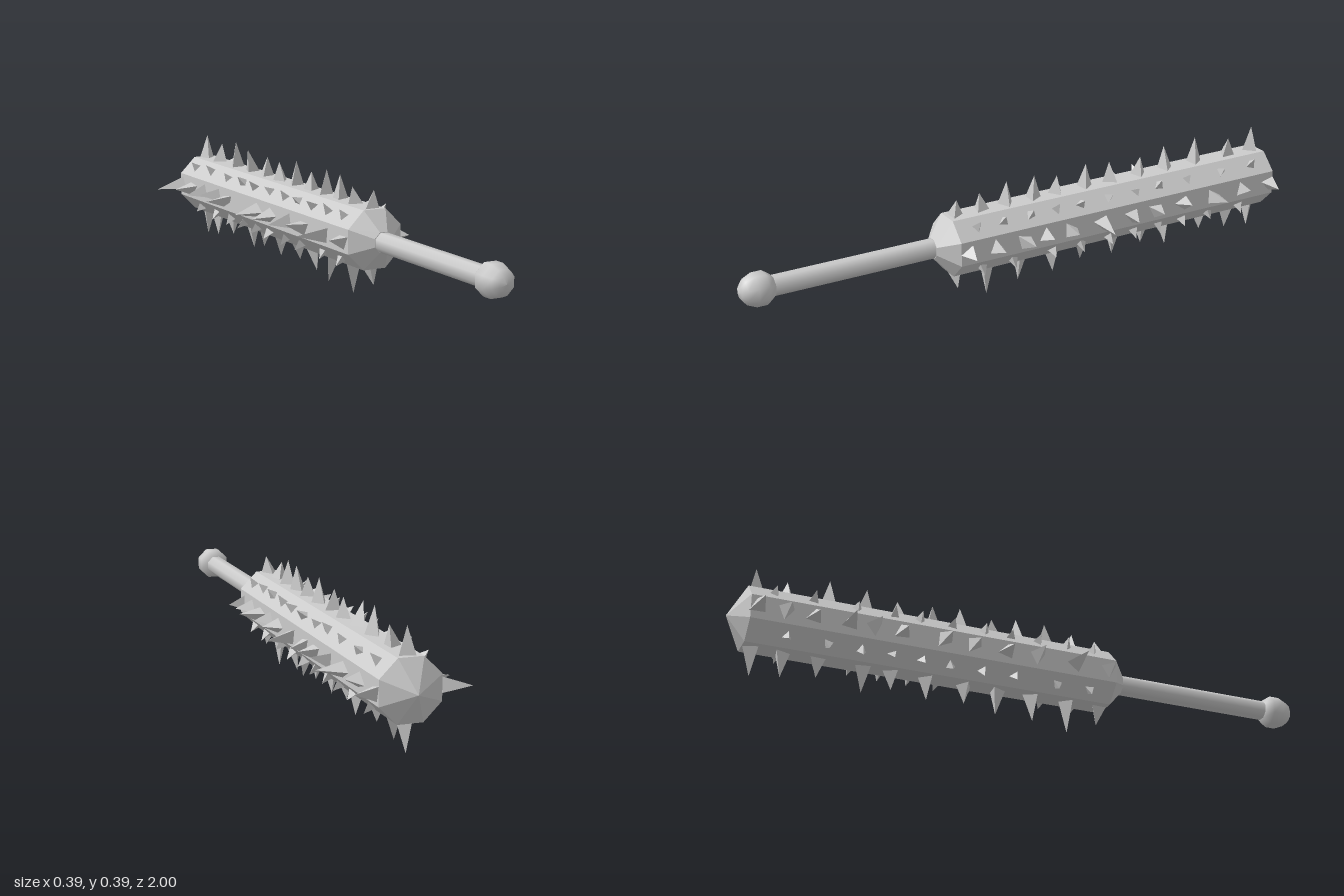
import * as THREE from 'three';

const CX = 0.006, CY = 0.209;   // axis of the club
const APOTHEM = 0.096;          // axis to flat side of the head
const steel = new THREE.MeshStandardMaterial({ color: 0xcccccc });
const faceted = new THREE.MeshStandardMaterial({ color: 0xcccccc, flatShading: true });

// small seeded generator, -1..1
let seed = 7;
const rand = () => {
  seed = (seed * 16807) % 2147483647;
  return (seed / 2147483647) * 2 - 1;
};

// eight-sided lathe along z, flats facing the axes; profile is [radius, z], z rising
function octLathe(name, profile, material) {
  const g = new THREE.LatheGeometry(profile.map(p => new THREE.Vector2(...p)), 8);
  g.rotateY(Math.PI / 8);
  g.rotateX(Math.PI / 2);
  const mesh = new THREE.Mesh(g, material);
  mesh.name = name;
  return mesh;
}

// three-sided spike standing on a side of the head, its tip leaning a little
function spike(name, angle, z, height, radius, lean) {
  const g = new THREE.ConeGeometry(radius, height, 3, 1, false, rand() * Math.PI);
  g.translate(0, height / 2, 0);
  const p = g.attributes.position;
  const dx = rand() * lean;
  for (let i = 0; i < p.count; i++) {
    p.setX(i, p.getX(i) + dx * p.getY(i) / height);
  }
  g.translate(0, APOTHEM - 0.001, 0);
  g.rotateZ(angle);
  const mesh = new THREE.Mesh(g, faceted);
  mesh.name = name;
  mesh.position.z = z;
  return mesh;
}

export function createModel() {
  seed = 7;
  const club = new THREE.Group();
  club.name = 'spikedClub';
  club.position.set(CX, CY, 0);

  // head: tapered collar, prism and pointed end
  const R = APOTHEM / Math.cos(Math.PI / 8);
  club.add(octLathe('head', [[0, -1], [R, -0.945], [R, 0.288], [0.035, 0.343], [0, 0.343]], faceted));

  // handle and pommel
  club.add(octLathe('handle', [[0.033, 0.33], [0.033, 0.9]], steel));
  club.add(octLathe('pommel', [[0, 0.89], [0.036, 0.89], [0.054, 0.915], [0.054, 0.95],
    [0.041, 0.98], [0.021, 0.995], [0, 1]], steel));

  // large spikes on the four main sides: [z, height] pairs
  const H = Math.PI / 2;
  const mainRows = [
    ['topSpike', 0, [[0.26, 0.058], [0.165, 0.055], [0.07, 0.08], [-0.03, 0.082], [-0.12, 0.062], [-0.23, 0.082],
      [-0.33, 0.066], [-0.445, 0.066], [-0.555, 0.077], [-0.675, 0.09], [-0.81, 0.064], [-0.915, 0.085]]],
    ['rightSpike', H, [[0.26, 0.055], [0.14, 0.107], [0.005, 0.072], [-0.105, 0.076], [-0.22, 0.076], [-0.32, 0.09],
      [-0.46, 0.07], [-0.55, 0.086], [-0.63, 0.076], [-0.745, 0.07], [-0.835, 0.075], [-0.925, 0.106]]],
    ['bottomSpike', 2 * H, [[0.26, 0.06], [0.15, 0.108], [0.02, 0.095], [-0.1, 0.083], [-0.21, 0.064],
      [-0.34, 0.076], [-0.46, 0.064], [-0.555, 0.086], [-0.705, 0.064], [-0.82, 0.085], [-0.915, 0.097]]],
    ['leftSpike', 3 * H, [[0.26, 0.052], [0.16, 0.062], [0.06, 0.08], [-0.025, 0.055], [-0.115, 0.06], [-0.235, 0.088],
      [-0.355, 0.05], [-0.45, 0.06], [-0.56, 0.062], [-0.687, 0.092], [-0.813, 0.052], [-0.925, 0.065]]],
  ];
  for (const [name, angle, list] of mainRows) {
    for (const [z, h] of list) club.add(spike(name, angle, z, h, 0.029, 0.016));
  }

  // small spikes on the diagonal sides
  const upper = [0.215, 0.12, 0.02, -0.08, -0.17, -0.28, -0.39, -0.48, -0.6, -0.74, -0.865];
  const lower = [0.2, 0.085, -0.065, -0.175, -0.285, -0.38, -0.48, -0.58, -0.69, -0.82];
  [upper, lower, lower, upper].forEach((zs, i) => {
    const angle = Math.PI / 4 + i * H;
    for (const z of zs) club.add(spike('smallSpike', angle, z, 0.034 + rand() * 0.005, 0.018, 0.006));
  });

  const model = new THREE.Group();
  model.name = 'model';
  model.add(club);
  return model;
}
